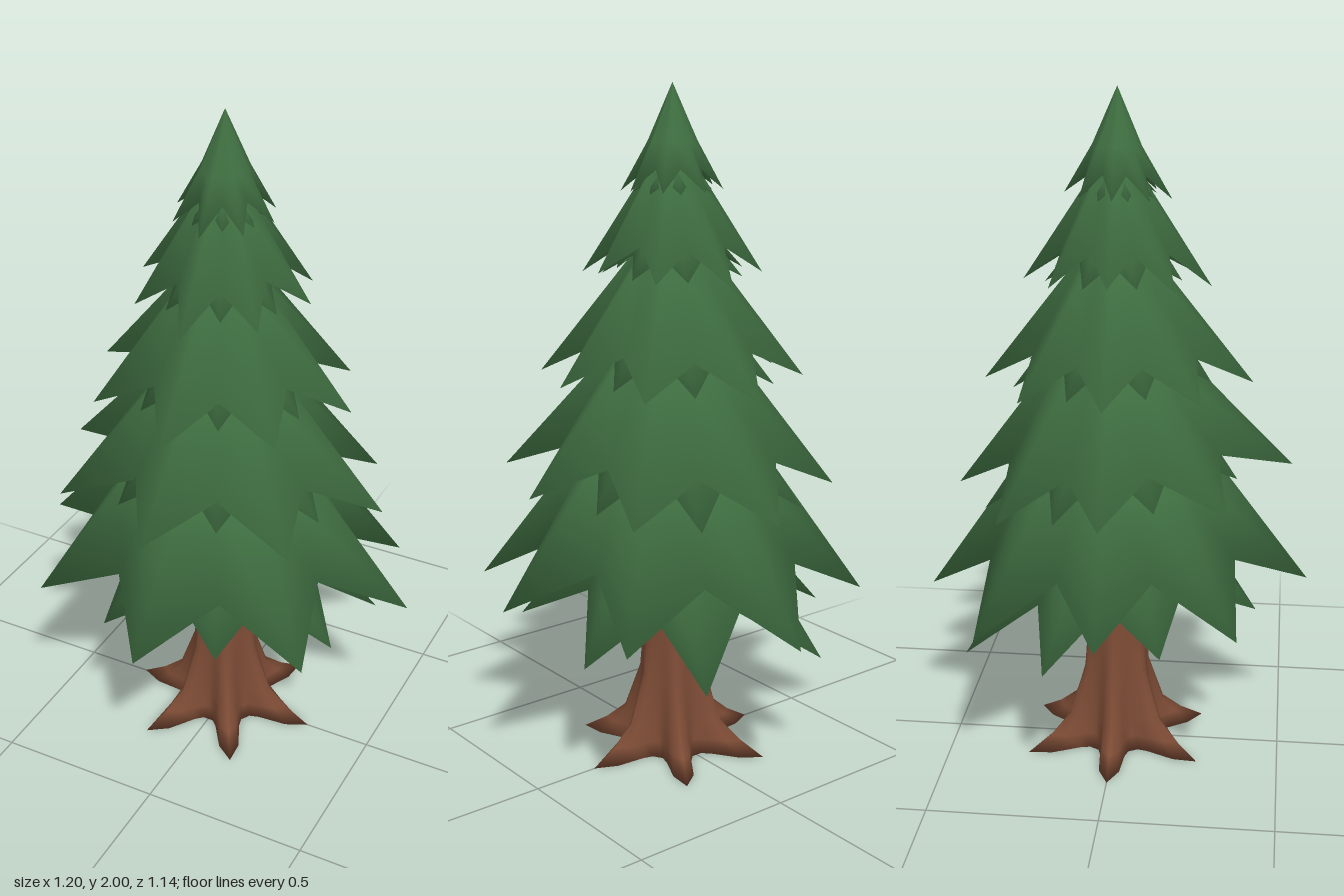
import * as THREE from 'three';

const TAU = Math.PI * 2;

// Joins closed rings of points, listed from the crown over the rim to the underside centre.
function loft(rings) {
  const n = rings[0].length;
  const index = [];
  for (let j = 0; j < rings.length - 1; j++) {
    for (let i = 0; i < n; i++) {
      const a = j * n + i, b = j * n + (i + 1) % n;
      index.push(a, b, a + n, b, b + n, a + n);
    }
  }
  const geometry = new THREE.BufferGeometry();
  geometry.setAttribute('position', new THREE.Float32BufferAttribute(rings.flat(2), 3));
  geometry.setIndex(index);
  geometry.computeVertexNormals();
  return geometry;
}

// Eight bough tips from the side, front and back ones; diagonals lie between them and droop.
function starTips([sx, sy], [fz, fy], [bz, by], droop) {
  const tips = [[0, fy, fz], [0, by, -bz]];
  for (const s of [1, -1]) {
    tips.push([s * sx, sy, 0]);
    tips.push([s * sx * 0.72, (sy + fy) / 2 - droop, fz * 0.66]);
    tips.push([s * sx * 0.73, (sy + by) / 2 - droop, -bz * 0.63]);
  }
  return tips;
}

// Upper layer of each tier: crown height, ridge shoulder and notch as [radius, height], and tips.
const UPPER = [
  { top: 2.0, mid: [0.07, 1.84], notch: [0.09, 1.765], tips: starTips([0.148, 1.707], [0.155, 1.69], [0.15, 1.705], 0) },
  { top: 1.86, mid: [0.09, 1.735], notch: [0.165, 1.555], tips: starTips([0.262, 1.49], [0.27, 1.445], [0.27, 1.455], 0) },
  { top: 1.66, mid: [0.13, 1.5], notch: [0.255, 1.26], tips: starTips([0.395, 1.185], [0.395, 1.165], [0.39, 1.155], 0) },
  { top: 1.4, mid: [0.2, 1.215], notch: [0.33, 0.965], tips: starTips([0.505, 0.885], [0.515, 0.92], [0.475, 0.825], 0.015) },
  { top: 1.1, mid: [0.29, 0.92], notch: [0.395, 0.67], tips: starTips([0.6, 0.575], [0.57, 0.56], [0.57, 0.49], 0.02) },
];

// Lower layer of each tier, its tips between the upper ones: reach, tip height, tilt.
const LOWER = [
  [0.118, 1.7, 0], [0.212, 1.475, 0.02], [0.31, 1.185, 0.05], [0.4, 0.87, 0.15], [0.47, 0.45, 0.2],
].map(([r, y, tilt]) => ({
  top: y + 0.85 * r,
  mid: [0.47 * r, y + 0.6 * r],
  notch: [0.66 * r, y + 0.26 * r],
  tips: [1, -1].flatMap(s => [[0.92, 0.35], [0.39, 0.9], [0.94, -0.35], [0.46, -0.91]]
    .map(([x, z]) => [s * x * r, y + tilt * z * r, z * r])),
}));

function foliageLayer({ top, mid, notch, tips }, green) {
  const sorted = [...tips].sort((p, q) => Math.atan2(p[2], p[0]) - Math.atan2(q[2], q[0]));
  const meanY = tips.reduce((sum, p) => sum + p[1], 0) / tips.length;
  // Rim alternates between tips and the notches halfway to the next tip
  const rim = sorted.flatMap((p, i) => {
    const q = sorted[(i + 1) % sorted.length];
    const x = p[0] + q[0], z = p[2] + q[2], k = notch[0] / Math.hypot(x, z);
    return [p, [x * k, notch[1] + 0.6 * ((p[1] + q[1]) / 2 - meanY), z * k]];
  });
  const inward = (radius, height, lean) => rim.map(([x, y, z], i) => {
    const k = radius / Math.hypot(x, z);
    const offset = y - (i % 2 ? notch[1] : meanY);
    return [x * k, height + lean * offset, z * k];
  });
  const shoulder = inward(mid[0], mid[1], 0.4).map(([x, y, z], i) =>
    i % 2 ? [x * 0.94, y - 0.05 * mid[0], z * 0.94] : [x, y, z]);
  const hollow = inward(notch[0] * 0.6, notch[1] + notch[0] * 0.14, 0.4);
  const centre = y => rim.map(() => [0, y, 0]);
  return new THREE.Mesh(loft([centre(top), shoulder, rim, hollow, centre(notch[1] + notch[0] * 0.2)]), green);
}

// Trunk rings: height, valley radius, extra reach of the six roots, root sharpness
const TRUNK = [
  [0.85, 0.06, 0, 1], [0.6, 0.076, 0, 1], [0.4, 0.087, 0.003, 1], [0.25, 0.092, 0.012, 1],
  [0.1, 0.105, 0.053, 1.5], [0.045, 0.11, 0.112, 2], [0, 0.12, 0.177, 2.8],
  // hollowed foot between the roots
  [0.03, 0.08, 0.03, 1], [0.05, 0, 0, 1],
];

function trunk(bark) {
  const rings = TRUNK.map(([y, r, reach, power]) => Array.from({ length: 48 }, (_, i) => {
    const a = (i / 48) * TAU;
    const root = reach * (0.5 + 0.5 * Math.cos(6 * a)) ** power;
    return [Math.cos(a) * (r + root), y, Math.sin(a) * (r + root)];
  }));
  return new THREE.Mesh(loft(rings), bark);
}

export function createModel() {
  const green = new THREE.MeshStandardMaterial({ color: 0x3f6e41 });
  green.name = 'needleGreen';
  const bark = new THREE.MeshStandardMaterial({ color: 0x7c4b35 });
  bark.name = 'barkBrown';

  const model = new THREE.Group();
  model.name = 'pineTree';
  const stem = trunk(bark);
  stem.name = 'trunkAndRoots';
  model.add(stem);
  UPPER.forEach((layer, i) => {
    const tier = new THREE.Group();
    tier.name = `foliageTier${i + 1}`;
    const upper = foliageLayer(layer, green);
    upper.name = 'upperBoughs';
    const lower = foliageLayer(LOWER[i], green);
    lower.name = 'lowerBoughs';
    tier.add(upper, lower);
    model.add(tier);
  });
  return model;
}
